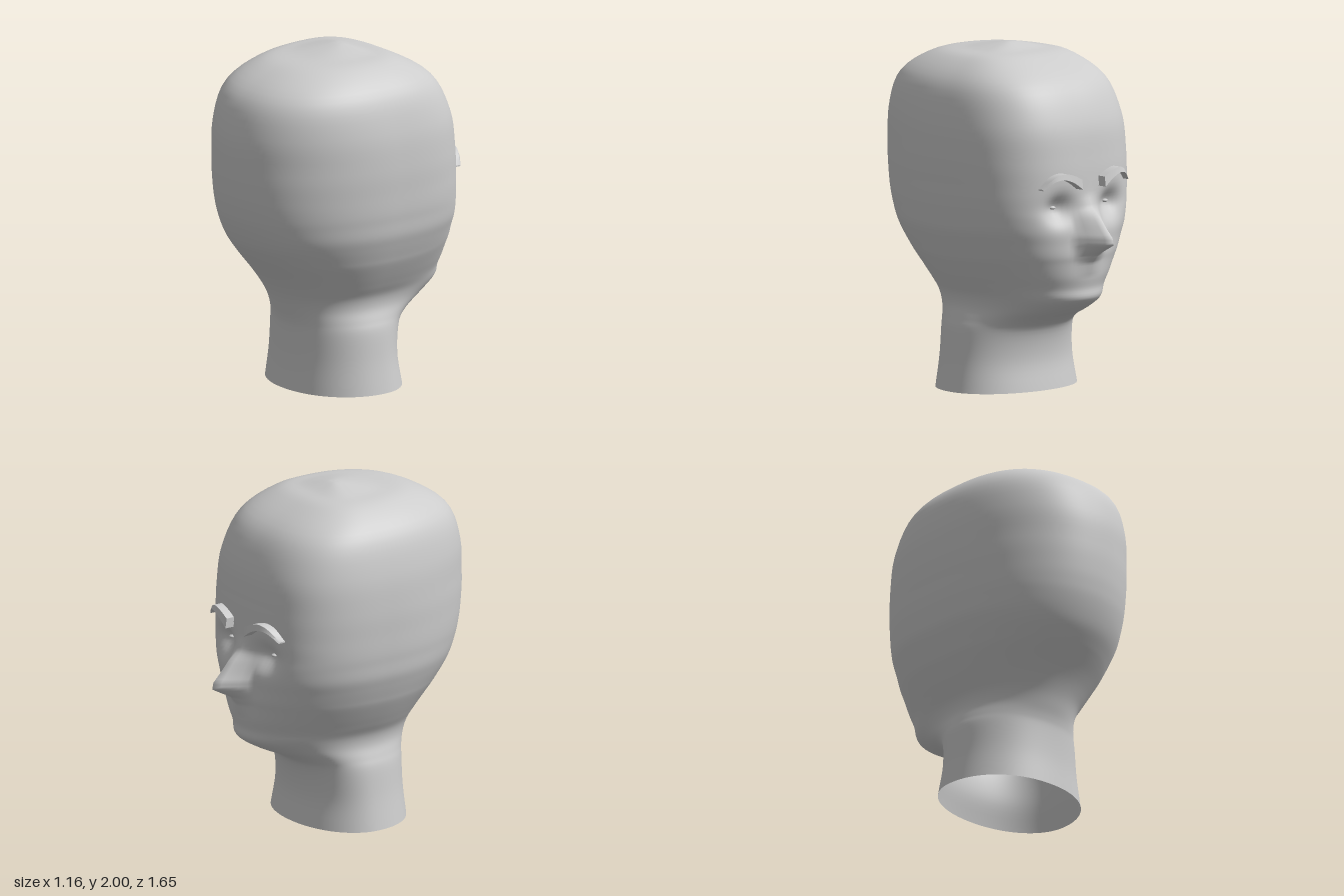
import * as THREE from 'three';
import { toCreasedNormals } from 'three/addons/utils/BufferGeometryUtils.js';

const CENTRE_Z = 0.04;

// Head rings: height, half width, back z, face z
const RINGS = [
  [0, 0.445, 0.425, -0.27], [0.18, 0.415, 0.41, -0.245], [0.35, 0.395, 0.41, -0.275],
  [0.42, 0.375, 0.42, -0.35], [0.49, 0.355, 0.445, -0.5], [0.56, 0.365, 0.475, -0.605],
  [0.63, 0.405, 0.515, -0.61], [0.7, 0.445, 0.565, -0.625], [0.78, 0.487, 0.63, -0.63],
  [0.83, 0.507, 0.67, -0.635], [0.9, 0.533, 0.72, -0.63], [0.97, 0.555, 0.755, -0.63],
  [1.05, 0.565, 0.785, -0.625], [1.12, 0.573, 0.802, -0.615], [1.22, 0.577, 0.817, -0.61],
  [1.38, 0.58, 0.825, -0.6], [1.59, 0.563, 0.81, -0.57], [1.8, 0.497, 0.72, -0.46],
  [1.93, 0.35, 0.5, -0.245], [1.965, 0.2, 0.27, -0.1], [1.995, 0.055, 0.09, 0.0],
  [2, 0.001, 0.041, 0.039],
];
// Nose: height, projection, half width
const NOSE = [
  [0.7, 0, 0.1], [0.78, 0.02, 0.1], [0.83, 0.055, 0.12], [0.9, 0.192, 0.12], [0.94, 0.185, 0.12],
  [0.98, 0.145, 0.11], [1.05, 0.085, 0.1], [1.1, 0.03, 0.09], [1.18, 0, 0.08],
];

function noseAt(y) {
  for (let i = 1; i < NOSE.length; i++) {
    const [y0, h0, w0] = NOSE[i - 1], [y1, h1, w1] = NOSE[i];
    if (y >= y0 && y <= y1) {
      const t = (y - y0) / (y1 - y0);
      return [h0 + (h1 - h0) * t, w0 + (w1 - w0) * t];
    }
  }
  return [0, 0.1];
}

// Closed rings lofted upwards, with nose and eye sockets pushed out of the face side
function headGeometry() {
  const widths = new THREE.CatmullRomCurve3(RINGS.map(([y, w]) => new THREE.Vector3(w, y, 0)), false, 'catmullrom');
  const depths = new THREE.CatmullRomCurve3(RINGS.map(([y, , b, f]) => new THREE.Vector3(b, y, f)), false, 'catmullrom');
  const rows = (RINGS.length - 1) * 5, cols = 160;
  const positions = [], indices = [];
  for (let r = 0; r <= rows; r++) {
    const { x: halfWidth, y } = widths.getPoint(r / rows);
    const { x: back, z: face } = depths.getPoint(r / rows);
    const [noseHeight, noseWidth] = noseAt(y);
    for (let c = 0; c < cols; c++) {
      const angle = c / cols * Math.PI * 2;
      const s = Math.sin(angle), k = Math.cos(angle);
      const depth = k > 0 ? back - CENTRE_Z : CENTRE_Z - face;
      // fuller curve on the skull and face, plain ellipse on the neck
      const skull = THREE.MathUtils.smoothstep(y, 0.6, 1.2);
      const n = k > 0 ? 2.1 + 0.3 * THREE.MathUtils.smoothstep(y, 1.4, 1.9) : 2.1 + 0.7 * skull;
      const radius = Math.pow(Math.pow(Math.abs(s / halfWidth), n) + Math.pow(Math.abs(k / depth), n), -1 / n);
      const x = s * radius;
      let z = CENTRE_Z + k * radius;
      if (k < 0) {
        z -= noseHeight * Math.max(0, 1 - Math.abs(x) / noseWidth);
        z += 0.075 * Math.exp(-(((Math.abs(x) - 0.2) / 0.09) ** 2) - ((y - 1.1) / 0.08) ** 2);
      }
      positions.push(x, y, z);
      if (r < rows) {
        const a = r * cols + c, b = r * cols + (c + 1) % cols;
        indices.push(a, b, b + cols, a, b + cols, a + cols);
      }
    }
  }
  const geometry = new THREE.BufferGeometry();
  geometry.setAttribute('position', new THREE.Float32BufferAttribute(positions, 3));
  geometry.setIndex(indices);
  geometry.computeVertexNormals();
  return geometry;
}

// Arched, tapering brow ridge rooted in the forehead
function browGeometry(side) {
  const path = new THREE.CatmullRomCurve3([
    [0.09, 1.245, -0.665], [0.15, 1.28, -0.662], [0.22, 1.3, -0.652], [0.28, 1.285, -0.632], [0.34, 1.23, -0.595],
  ].map(([x, y, z]) => new THREE.Vector3(x * side, y, z)));
  const steps = 12, positions = [], indices = [];
  for (let i = 0; i <= steps; i++) {
    const t = i / steps, p = path.getPoint(t);
    const half = 0.025 * (1 - t) + 0.004;
    positions.push(
      p.x, p.y - half, p.z, p.x, p.y + half, p.z + 0.008,
      p.x, p.y + half, p.z + 0.06, p.x, p.y - half, p.z + 0.06);
    if (i === steps) continue;
    for (let j = 0; j < 4; j++) {
      const a = i * 4 + j, b = i * 4 + (j + 1) % 4;
      if (side > 0) indices.push(a, b, b + 4, a, b + 4, a + 4);
      else indices.push(a, b + 4, b, a, a + 4, b + 4);
    }
  }
  const e = steps * 4;
  const caps = [0, 2, 1, 0, 3, 2, e, e + 1, e + 2, e, e + 2, e + 3];
  for (let i = 0; i < caps.length; i += 3) {
    const [a, b, c] = caps.slice(i, i + 3);
    indices.push(a, ...(side > 0 ? [b, c] : [c, b]));
  }
  const geometry = new THREE.BufferGeometry();
  geometry.setAttribute('position', new THREE.Float32BufferAttribute(positions, 3));
  geometry.setIndex(indices);
  return toCreasedNormals(geometry, 0.7);
}

export function createModel() {
  const group = new THREE.Group();
  group.name = 'mannequinHead';
  const clay = new THREE.MeshStandardMaterial({ color: 0xcccccc, side: THREE.DoubleSide });
  clay.name = 'light grey clay';

  const add = (name, geometry) => {
    const mesh = new THREE.Mesh(geometry, clay);
    mesh.name = name;
    group.add(mesh);
    return mesh;
  };

  add('headAndNeck', headGeometry());
  for (const side of [-1, 1]) {
    const label = side < 0 ? 'left' : 'right';
    add(label + 'Eyebrow', browGeometry(side));
    // eye, almost hidden in its socket
    const eye = add(label + 'Eye', new THREE.SphereGeometry(0.02, 16, 10));
    eye.scale.y = 0.5;
    eye.position.set(side * 0.21, 1.11, -0.53);
  }
  return group;
}
